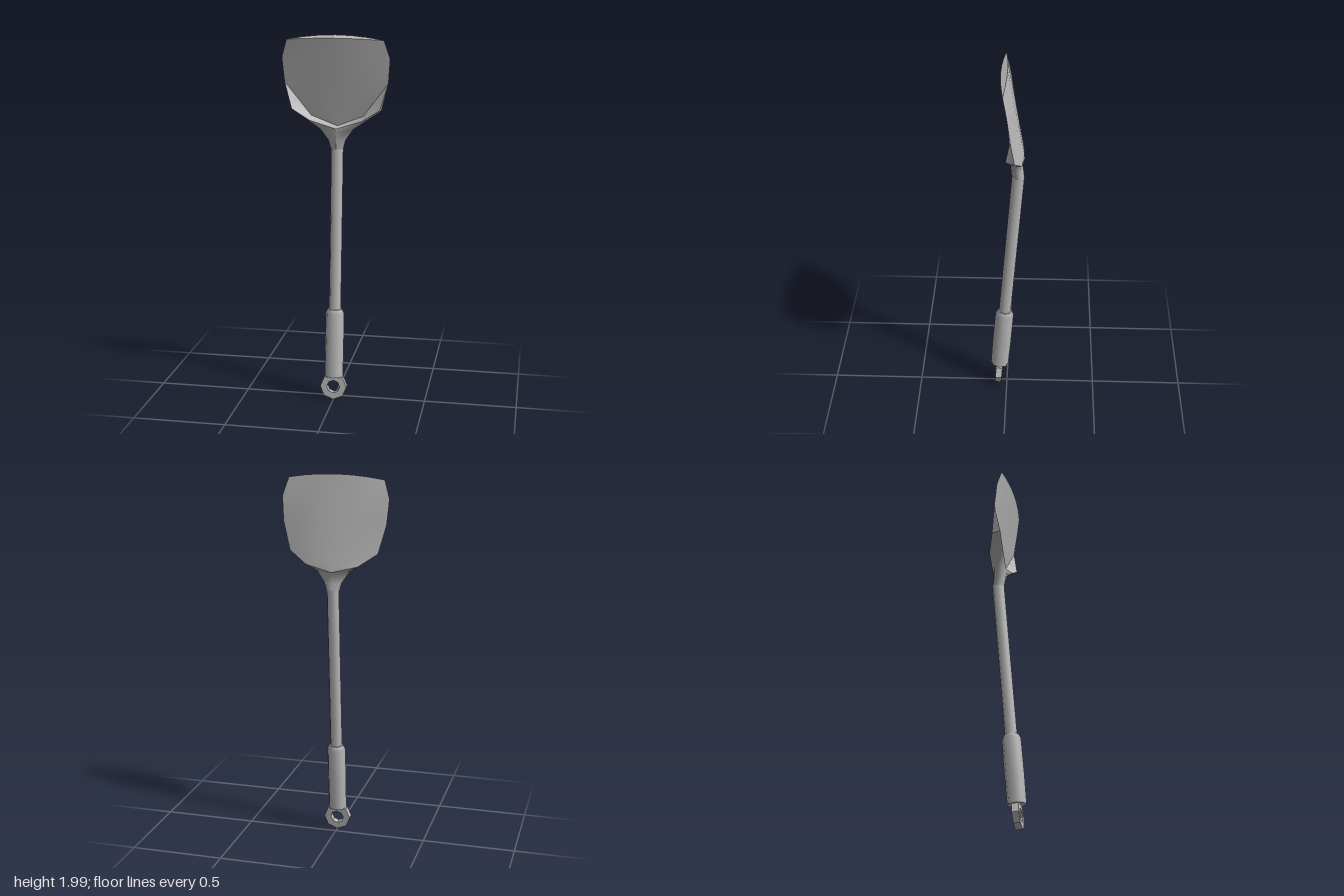
import * as THREE from 'three';

const steel = new THREE.MeshStandardMaterial({ color: 0xb8b8b8, side: THREE.DoubleSide });
steel.name = 'grey steel';

const flip = ([x, y, z]) => [-x, y, z];
// Full left-to-right row from a half row that starts on the centre line
const mirrored = (half) => [...half.slice(1).reverse().map(flip), ...half];

// Smooth surface through rows of points (rows run upward, points run anticlockwise)
function surface(name, rows) {
  const n = rows[0].length;
  const index = [];
  for (let i = 0; i < rows.length - 1; i++) {
    for (let j = 0; j < n - 1; j++) {
      const a = i * n + j, b = a + 1, c = b + n, d = a + n;
      index.push(a, b, c, a, c, d);
    }
  }
  const geo = new THREE.BufferGeometry();
  geo.setAttribute('position', new THREE.Float32BufferAttribute(rows.flat(2), 3));
  geo.setIndex(index);
  geo.computeVertexNormals();
  return part(name, geo);
}

function part(name, geo) {
  const mesh = new THREE.Mesh(geo, steel);
  mesh.name = name;
  return mesh;
}

// Row that bows from a centre point out to an edge point
function bowedRow([, yc, zc], [xe, ye, ze]) {
  return mirrored([0, 1 / 3, 2 / 3, 1].map((u) => [
    xe * u, yc + (ye - yc) * u * u, zc + (ze - zc) * u * u,
  ]));
}

function createHandle() {
  const handle = new THREE.Group();
  handle.name = 'handle';
  handle.position.z = 0.053;
  handle.rotation.x = -0.08;

  // Slim shaft
  const shaft = part('shaft', new THREE.CylinderGeometry(0.033, 0.033, 0.93, 8, 1, true));
  shaft.position.y = 0.945;
  handle.add(shaft);

  // Grip with a bevelled shoulder and flat ends
  const body = [[0.05, 0.137], [0.052, 0.3], [0.051, 0.495], [0.04, 0.517]];
  handle.add(part('grip', new THREE.LatheGeometry(body.map((p) => new THREE.Vector2(...p)), 8)));
  for (const [name, r, y, turn] of [['gripTop', 0.04, 0.517, -1], ['gripBottom', 0.05, 0.137, 1]]) {
    const cap = part(name, new THREE.CircleGeometry(r, 8, Math.PI / 2));
    cap.rotation.x = turn * Math.PI / 2;
    cap.position.y = y;
    handle.add(cap);
  }

  // Eight-sided hanging ring
  const octagon = (r) => Array.from({ length: 8 }, (_, i) =>
    new THREE.Vector2(r * Math.cos(i * Math.PI / 4), r * Math.sin(i * Math.PI / 4)));
  const shape = new THREE.Shape(octagon(0.073));
  shape.holes.push(new THREE.Path(octagon(0.036)));
  const ring = part('hangingRing', new THREE.ExtrudeGeometry(shape, { depth: 0.036, bevelEnabled: false }));
  ring.position.set(0, 0.08, -0.018);
  handle.add(ring);
  return handle;
}

function createHead() {
  const head = new THREE.Group();
  head.name = 'head';

  // Half contours, from bottom centre round to the top corner
  const back = [[0, 1.5, -0.092], [0.14, 1.535, -0.08], [0.237, 1.6, -0.045],
    [0.277, 1.75, -0.024], [0.287, 1.88, -0.008], [0.257, 1.975, 0.012]];
  const floor = [[0, 1.515, -0.06], [0.14, 1.57, -0.054], [0.21, 1.663, -0.038], ...back.slice(3)];
  const rim = [[0, 1.505, -0.015], [0.14, 1.55, -0.004], [0.235, 1.61, 0.001], back[3]];

  // Centre lines of the two blade faces
  const backSpine = [[0, 1.5, -0.092], [0, 1.535, -0.088], [0, 1.6, -0.076],
    [0, 1.75, -0.048], [0, 1.88, -0.025], [0, 2, -0.004]];
  const floorSpine = [[0, 1.515, -0.06], [0, 1.57, -0.05], [0, 1.663, -0.033],
    [0, 1.75, -0.016], [0, 1.88, 0.01], [0, 1.985, 0.031]];

  const frontRows = floor.map((edge, i) => bowedRow(floorSpine[i], edge));
  const backRows = back.map((edge, i) => bowedRow(backSpine[i], edge));
  head.add(surface('bladeFront', frontRows));
  head.add(surface('bladeBack', [...backRows].reverse()));
  head.add(surface('bladeTopEdge', [frontRows[5], backRows[5]]));

  // Raised wall round the lower part of the blade
  head.add(surface('innerWall', [mirrored(rim), mirrored(floor.slice(0, 4))]));
  head.add(surface('leftWallEdge', [[rim[2], back[2]], [back[3], back[3]]]));
  head.add(surface('rightWallEdge', [[flip(back[2]), flip(rim[2])], [back[3], back[3]].map(flip)]));

  // Neck flaring from the round shaft to the wall
  const angles = [0, 45, 80, 100, 135, 180].map((a) => a * Math.PI / 180);
  const closed = (half) => [...half, ...half.slice(0, -1).reverse().map(flip)];
  const sections = [[1.39, 0.033, 0.032, -0.058], [1.44, 0.047, 0.034, -0.052], [1.485, 0.09, 0.032, -0.044]];
  const loops = sections.map(([y, rx, rz, z]) => closed(angles.map((a) => [
    rx * Math.sin(a), y + (rx > 0.08 ? 0.015 * Math.sin(a) : 0), z + rz * Math.cos(a),
  ])));
  loops.push(closed([rim[0], rim[1], rim[2], back[2], back[1], back[0]]));
  head.add(surface('neck', loops));
  return head;
}

export function createModel() {
  const model = new THREE.Group();
  model.name = 'turner';
  model.add(createHandle(), createHead());
  return model;
}
